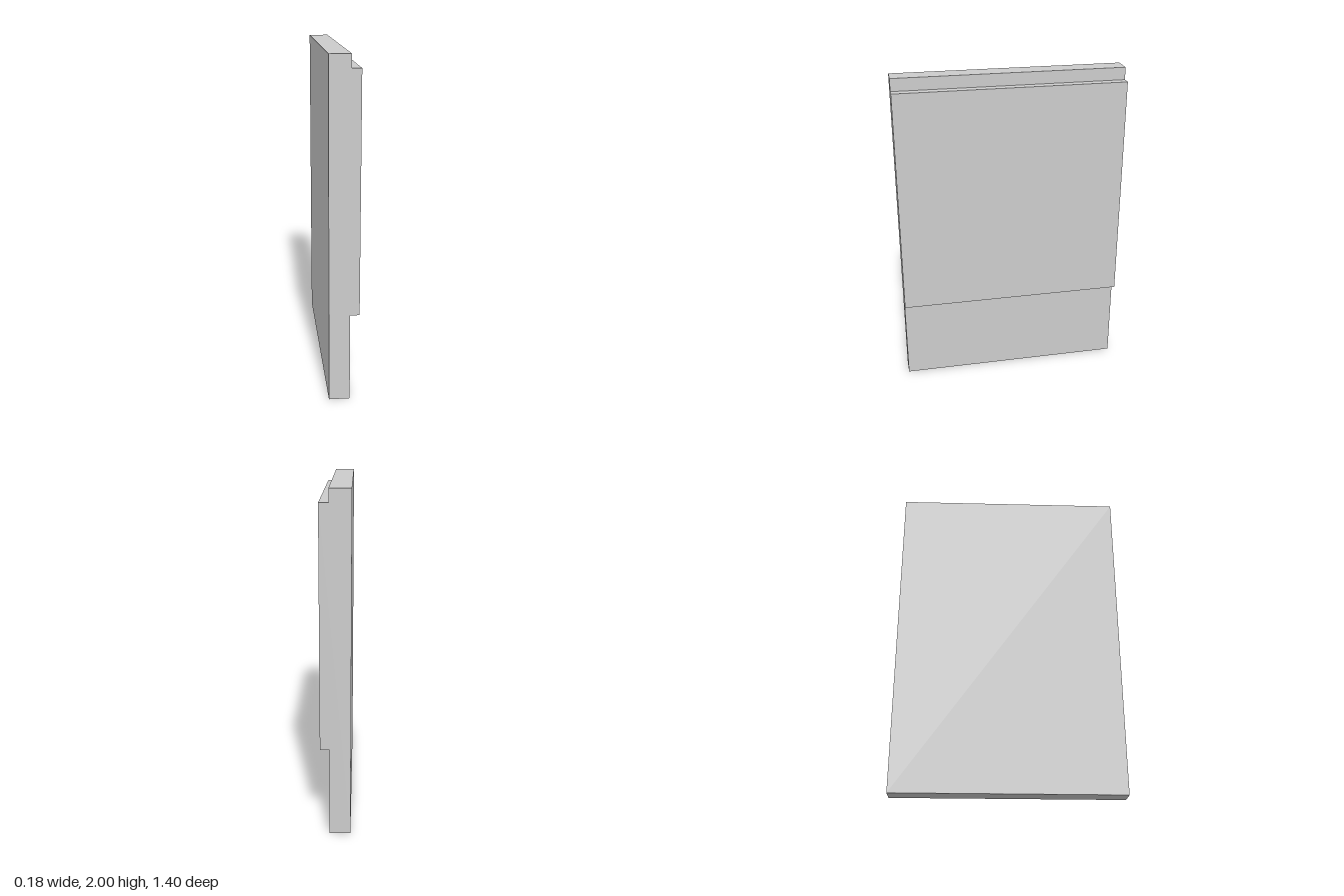
import * as THREE from 'three';

export function createModel() {
  const group = new THREE.Group();
  group.name = 'steppedPanel';

  const back = -0.088, step = 0.034, face = 0.088; // x planes
  const bottom = 0.53, top = 1.925;                // raised band, in y
  const width = 1.396;                             // along z

  // Side profile: thin slab with a raised band on its +x face
  const profile = new THREE.Shape([
    [back, 0], [step, 0], [step, bottom], [face, bottom],
    [face, top], [step, top], [step, 2], [back, 2],
  ].map(([x, y]) => new THREE.Vector2(x, y)));

  const geometry = new THREE.ExtrudeGeometry(profile, { depth: width, bevelEnabled: false });
  geometry.translate(0, 0, -width / 2);

  const panel = new THREE.Mesh(geometry, new THREE.MeshStandardMaterial({ color: 0xcccccc }));
  panel.name = 'panel';
  group.add(panel);
  return group;
}
